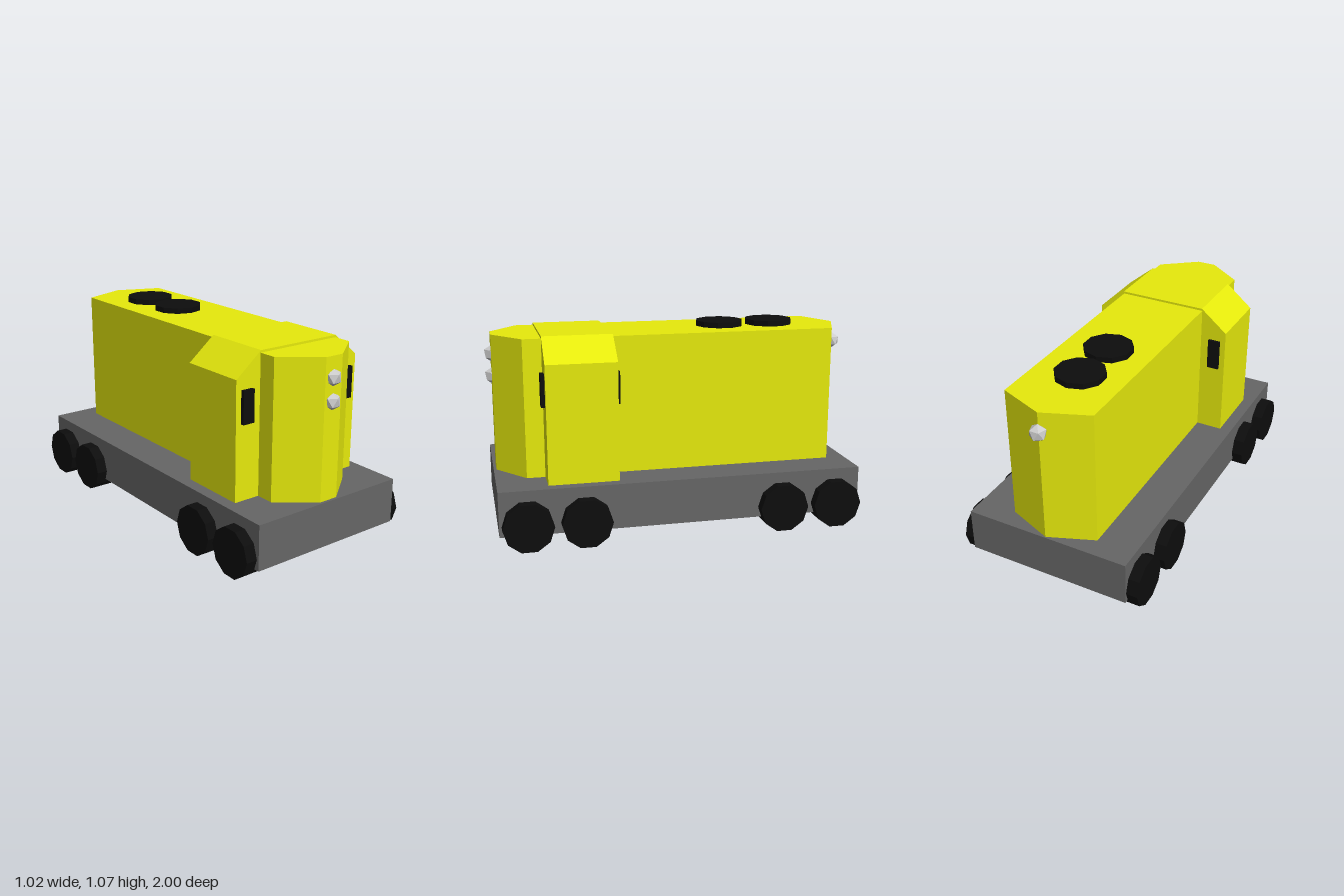
import * as THREE from 'three';

const paint = (color) => new THREE.MeshStandardMaterial({ color, flatShading: true });
const outline = (pts) => new THREE.Shape(pts.map(([x, y]) => new THREE.Vector2(x, y)));

export function createModel() {
  const model = new THREE.Group();
  const yellow = paint(0xe6ea0c), grey = paint(0x666666);
  const black = paint(0x0d0d0d), lampGrey = paint(0xcccccc);

  const add = (name, geometry, material, x, y, z) => {
    const mesh = new THREE.Mesh(geometry, material);
    mesh.name = name;
    mesh.position.set(x, y, z);
    model.add(mesh);
    return mesh;
  };

  // Chassis slab
  add('chassis', new THREE.BoxGeometry(0.905, 0.24, 1.94), grey, 0.002, 0.19, 0.01);

  // Four ten-sided wheel rollers spanning the full width
  const wheel = new THREE.CylinderGeometry(0.132, 0.132, 1.022, 10).rotateZ(Math.PI / 2);
  [0.835, 0.535, -0.522, -0.822].forEach((z, i) => add(`wheelPair${i + 1}`, wheel, black, 0, 0.126, z));

  // Long hood: plan outline (x, -z) raised upward, blunt nose and pointed tail
  const hood = new THREE.ExtrudeGeometry(outline([
    [-0.053, -0.965], [0.053, -0.965], [0.244, -0.817], [0.244, 0.857],
    [0, 0.953], [-0.244, 0.857], [-0.244, -0.817],
  ]), { depth: 0.735, bevelEnabled: false }).rotateX(-Math.PI / 2);
  add('hood', hood, yellow, 0.004, 0.31, 0);

  // Cab with sloped roof shoulders
  const cab = new THREE.ExtrudeGeometry(outline([
    [-0.392, 0.31], [0.392, 0.31], [0.392, 0.936],
    [0.244, 1.057], [-0.244, 1.057], [-0.392, 0.936],
  ]), { depth: 0.37, bevelEnabled: false });
  add('cab', cab, yellow, 0.006, 0, 0.35);

  // Cab windows, showing at front and rear on each side
  const pane = new THREE.BoxGeometry(0.066, 0.17, 0.405);
  add('leftWindow', pane, black, 0.33, 0.796, 0.537);
  add('rightWindow', pane, black, -0.322, 0.796, 0.537);

  // Roof fans
  const fan = new THREE.CylinderGeometry(0.132, 0.132, 0.04, 10);
  [-0.575, -0.29].forEach((z, i) => add(`roofFan${i + 1}`, fan, black, -0.003, 1.055, z));

  // Faceted lamps, turned so that a corner points up
  const lamp = new THREE.IcosahedronGeometry(0.047).rotateX(-Math.atan((1 + Math.sqrt(5)) / 2));
  add('upperHeadlamp', lamp, lampGrey, 0.004, 0.937, 0.957);
  add('lowerHeadlamp', lamp, lampGrey, 0.004, 0.818, 0.957);
  add('rearLamp', lamp, lampGrey, 0.004, 0.937, -0.957);

  return model;
}
